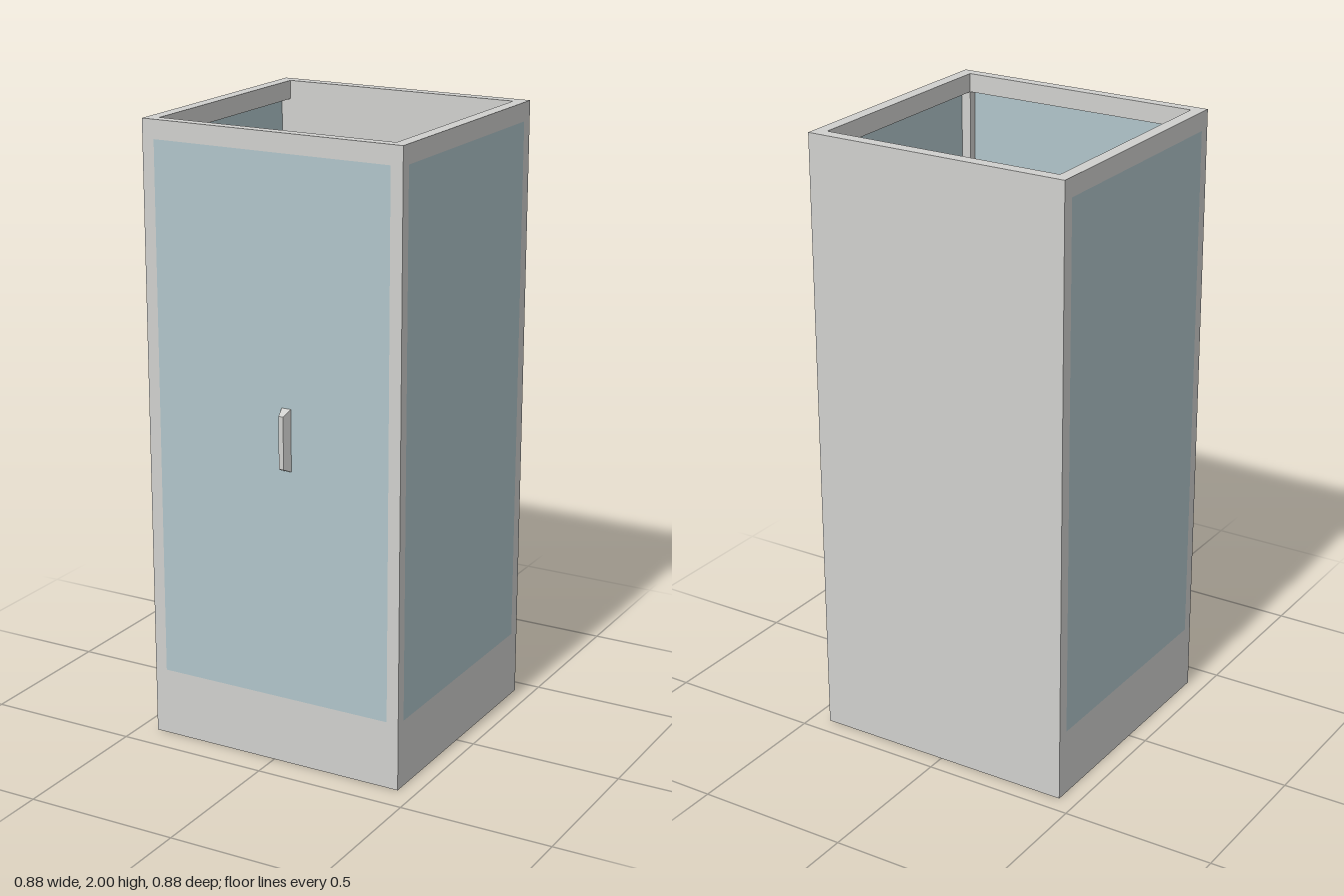
import * as THREE from 'three';

export function createModel() {
  const root = new THREE.Group();
  root.name = 'showerCabin';
  const grey = new THREE.MeshStandardMaterial({ color: 0xd0d0ce });
  grey.name = 'light grey';
  const glass = new THREE.MeshStandardMaterial({ color: 0xb0c5ca });
  glass.name = 'pale blue glass';

  const add = (name, geo, mat = grey, parent = root) => {
    const m = new THREE.Mesh(geo, mat);
    m.name = name;
    parent.add(m);
    return m;
  };
  // Box given by its limits on each axis
  const box = (name, x0, x1, y0, y1, z0, z1, mat = grey, parent = root) => {
    const m = add(name, new THREE.BoxGeometry(x1 - x0, y1 - y0, z1 - z0), mat, parent);
    m.position.set((x0 + x1) / 2, (y0 + y1) / 2, (z0 + z1) / 2);
    return m;
  };
  // Quad strip between two closed loops of points
  const band = (a, b) => {
    const pos = [];
    a.forEach((p, i) => {
      const j = (i + 1) % a.length;
      pos.push(...p, ...b[i], ...b[j], ...p, ...b[j], ...a[j]);
    });
    const g = new THREE.BufferGeometry();
    g.setAttribute('position', new THREE.Float32BufferAttribute(pos, 3));
    g.computeVertexNormals();
    return g;
  };

  // Cabin frame
  const X = 0.44, XI = 0.4, ZB = -0.44, ZBI = -0.4, ZF = 0.405, ZFI = 0.37;
  const sill = 0.22, head = 1.94, top = 2, t = 0.008;
  box('backWall', -X, X, 0, top, ZB, ZBI);
  for (const s of [-1, 1]) {
    const a = s < 0 ? -X : XI, b = s < 0 ? -XI : X;
    box('frontPost', a, b, 0, top, ZFI, ZF);
    box('sideSill', a, b, 0, sill, ZBI, ZFI);
    box('sideHeader', a, b, head, top, ZBI, ZFI);
    box('sideGlass', s < 0 ? -X : X - t, s < 0 ? -X + t : X, sill, head, ZBI, ZFI, glass);
  }
  box('frontSill', -XI, XI, 0, sill, ZFI, ZF);
  box('frontHeader', -XI, XI, head, top, ZFI, ZF);
  box('doorGlass', -XI, XI, sill, head, ZF - t, ZF, glass);

  // Shower tray: rim, sloped sides and sunken floor
  const floorY = 0.15;
  const outer = [[-0.357, -0.362], [0.163, -0.362], [0.355, -0.175], [0.355, 0.328], [-0.357, 0.328]];
  const inner = [[-0.332, -0.338], [0.152, -0.338], [0.33, -0.163], [0.33, 0.303], [-0.332, 0.303]];
  const path = (pts) => pts.map(([x, z]) => new THREE.Vector2(x, -z));
  const rim = new THREE.Shape(path([[-XI, ZBI], [XI, ZBI], [XI, ZFI], [-XI, ZFI]]));
  rim.holes.push(new THREE.Path(path(outer)));
  add('trayRim', new THREE.ShapeGeometry(rim).rotateX(-Math.PI / 2)).position.y = sill;
  add('traySides', band(outer.map(([x, z]) => [x, sill, z]), inner.map(([x, z]) => [x, floorY, z])));
  box('trayFloor', -XI, XI, 0, floorY, ZBI, ZFI);
  add('drain', new THREE.CylinderGeometry(0.046, 0.046, 0.006, 6), glass).position.set(-0.14, floorY + 0.003, 0.118);

  // Door handle, tapering away from the door
  const rect = (x0, x1, y0, y1, z) => [[x0, y0, z], [x1, y0, z], [x1, y1, z], [x0, y1, z]];
  const hOut = rect(0.045, 0.061, 0.985, 1.152, 0.438);
  add('handleSides', band(hOut, rect(0.037, 0.069, 0.97, 1.168, ZF)));
  const hf = add('handleFront', new THREE.PlaneGeometry(0.016, 0.167));
  hf.position.set(0.053, 1.0685, 0.438);

  // Mixer valve with a knob at each end
  const shower = new THREE.Group();
  shower.name = 'shower';
  root.add(shower);
  const bar = (name, r, x0, x1) => {
    const m = add(name, new THREE.CylinderGeometry(r, r, x1 - x0, 12).rotateZ(Math.PI / 2), grey, shower);
    m.position.set((x0 + x1) / 2, 1.0, -0.361);
  };
  box('valveMount', -0.05, 0.05, 0.98, 1.02, ZBI, -0.38, grey, shower);
  bar('valveBody', 0.024, -0.104, 0.102);
  bar('valveStem', 0.016, -0.12, 0.12);
  bar('valveKnob', 0.024, -0.134, -0.113);
  bar('valveKnob', 0.024, 0.11, 0.131);

  // Riser pipe, bracket, arm and tilted head
  const pipe = add('riserPipe', new THREE.CylinderGeometry(0.017, 0.017, 0.7, 12), grey, shower);
  pipe.position.set(0, 1.35, -0.32);
  box('bracket', -0.024, 0.024, 1.63, 1.68, ZBI, -0.29, grey, shower);
  const side = [[-0.29, 1.64], [-0.21, 1.68], [-0.175, 1.67], [-0.155, 1.62],
    [-0.19, 1.6], [-0.205, 1.645], [-0.29, 1.6]];
  const arm = new THREE.Shape(side.map(([z, y]) => new THREE.Vector2(-z, y)));
  add('showerArm', new THREE.ExtrudeGeometry(arm, { depth: 0.048, bevelEnabled: false })
    .translate(0, 0, -0.024).rotateY(Math.PI / 2), grey, shower);
  const h = add('showerHead', new THREE.BoxGeometry(0.11, 0.035, 0.1), grey, shower);
  h.position.set(0, 1.6, -0.173);
  h.rotation.x = -0.45;

  return root;
}
